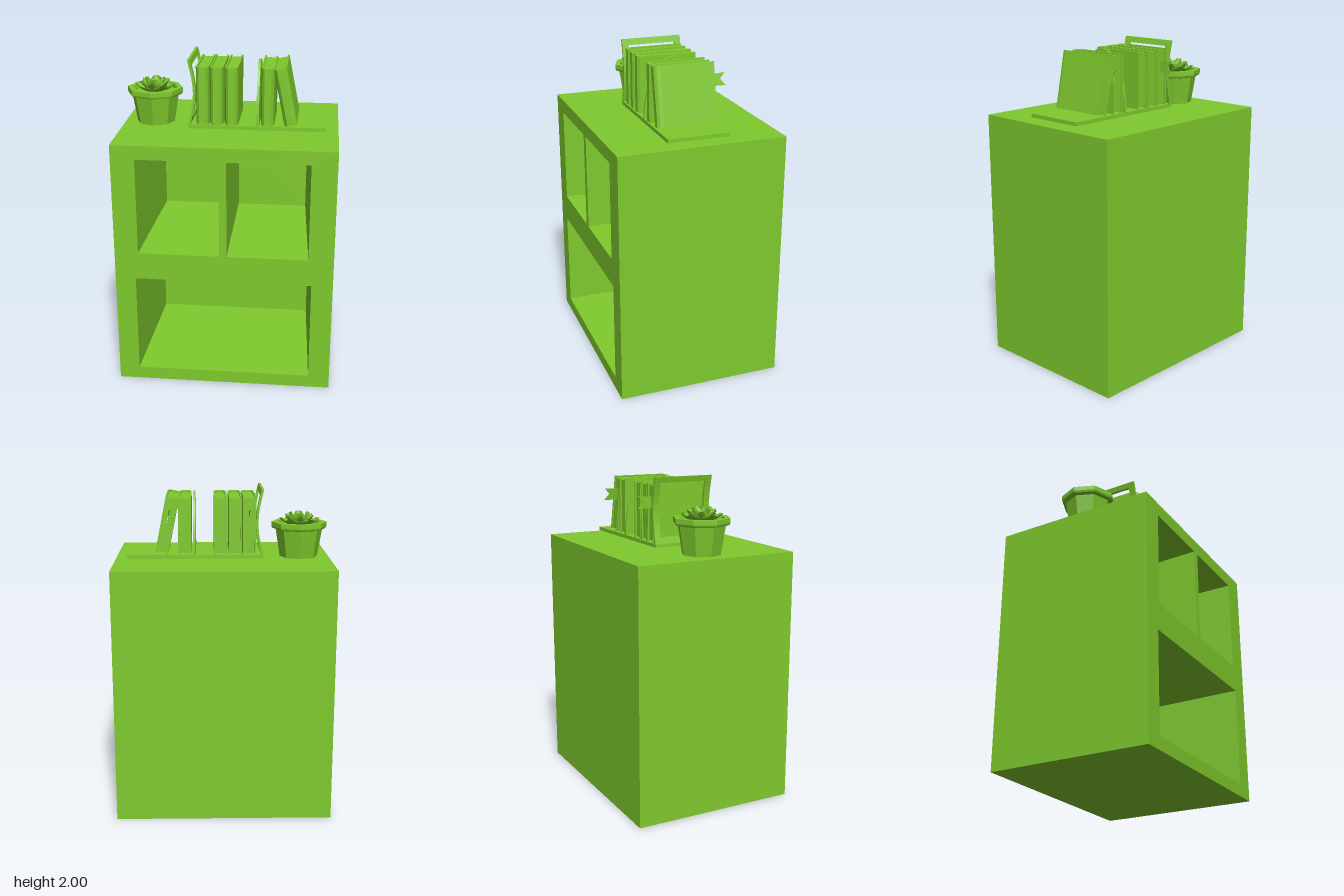
import * as THREE from 'three';

const green = new THREE.MeshStandardMaterial({ color: 0x7fca2d, side: THREE.DoubleSide });
green.name = 'leaf green';

function add(parent, name, geometry, x = 0, y = 0, z = 0) {
  const mesh = new THREE.Mesh(geometry, green);
  mesh.name = name;
  mesh.position.set(x, y, z);
  parent.add(mesh);
  return mesh;
}

// Faceted copy of a geometry
function faceted(geometry) {
  const flat = geometry.toNonIndexed();
  flat.computeVertexNormals();
  return flat;
}

// Box without its front (+z) face
function openBox(w, h, d) {
  const box = new THREE.BoxGeometry(w, h, d);
  const index = Array.from(box.index.array);
  index.splice(24, 6);
  box.setIndex(index);
  box.clearGroups();
  return box;
}

// Tapered compartment; front and back are [x0, x1, y0, y1]
function recess(front, back, zFront, zBack) {
  const geo = openBox(1, 1, 1);
  const p = geo.attributes.position;
  for (let i = 0; i < p.count; i++) {
    const r = p.getZ(i) > 0 ? front : back;
    p.setXYZ(i, p.getX(i) > 0 ? r[1] : r[0], p.getY(i) > 0 ? r[3] : r[2], p.getZ(i) > 0 ? zFront : zBack);
  }
  geo.setIndex(Array.from(geo.index.array).reverse());
  geo.computeVertexNormals();
  return geo;
}

function makeCabinet() {
  const g = new THREE.Group();
  g.name = 'cabinet';
  const W = 0.665, H = 1.565, D = 0.515;
  add(g, 'cabinetBody', openBox(2 * W, H, 2 * D), 0, H / 2, 0);
  const face = new THREE.Shape([[-W, 0], [W, 0], [W, H], [-W, H]].map(a => new THREE.Vector2(...a)));
  const bays = [
    ['upperRightBay', [-0.52, -0.025, 0.88, 1.48], [-0.475, -0.025, 0.905, 1.455]],
    ['upperLeftBay', [0.02, 0.512, 0.88, 1.48], [0.02, 0.472, 0.905, 1.455]],
    ['lowerBay', [-0.54, 0.535, 0.08, 0.71], [-0.502, 0.5, 0.105, 0.687]],
  ];
  for (const [name, f, b] of bays) {
    face.holes.push(new THREE.Path([[f[0], f[2]], [f[0], f[3]], [f[1], f[3]], [f[1], f[2]]]
      .map(a => new THREE.Vector2(...a))));
    add(g, name, recess(f, b, D, -0.295));
  }
  add(g, 'cabinetFront', new THREE.ShapeGeometry(face), 0, 0, D);
  return g;
}

// Wrapped cover with a rounded spine, page block and optional ribbon
function makeBook(name, ribbon) {
  const g = new THREE.Group();
  g.name = name;
  const h = 0.352;
  const half = [[0.04, 0.185], [0.04, -0.15], [0.034, -0.17], [0.02, -0.185]];
  const inner = [[0.03, 0.185], [0.03, -0.145], [0.02, -0.16]];
  const mirror = list => list.map(([x, y]) => [-x, y]).reverse();
  const outline = [...half, ...mirror(half), ...mirror(inner).reverse(), ...inner.slice().reverse()];
  const cover = new THREE.ExtrudeGeometry(new THREE.Shape(outline.map(a => new THREE.Vector2(...a))),
    { depth: h, bevelEnabled: false });
  cover.rotateX(-Math.PI / 2);
  add(g, 'cover', cover);
  add(g, 'pages', new THREE.BoxGeometry(0.062, h - 0.02, 0.325), 0, h / 2, -0.012);
  if (ribbon) {
    const tail = new THREE.Shape([[0.16, -0.04], [0.265, -0.04], [0.232, 0], [0.265, 0.036], [0.16, 0.03]]
      .map(a => new THREE.Vector2(...a)));
    const geo = new THREE.ExtrudeGeometry(tail, { depth: 0.004, bevelEnabled: false });
    geo.rotateY(Math.PI / 2);
    add(g, 'ribbon', geo, 0, 0.245, 0);
  }
  return g;
}

// Curved upright strip, thin in x and running along z
function bowedStrip(y0, y1, width) {
  const bow = y => -0.241 + 0.033 * Math.sin(Math.PI * (y - 1.6) / 0.4);
  const left = [], right = [];
  const n = Math.max(1, Math.round((y1 - y0) / 0.04));
  for (let i = 0; i <= n; i++) {
    const y = y0 + (y1 - y0) * i / n;
    left.push(new THREE.Vector2(bow(y) - 0.006, y));
    right.push(new THREE.Vector2(bow(y) + 0.009, y));
  }
  return new THREE.ExtrudeGeometry(new THREE.Shape([...right, ...left.reverse()]),
    { depth: width, bevelEnabled: false });
}

function makeBookRack() {
  const g = new THREE.Group();
  g.name = 'bookRack';
  add(g, 'rackBase', new THREE.BoxGeometry(0.835, 0.023, 0.386), 0.172, 1.593, 0);
  // Open bowed end frame
  add(g, 'frameTop', bowedStrip(1.965, 2, 0.386), 0, 0, -0.193);
  add(g, 'frameBottom', bowedStrip(1.6, 1.64, 0.386), 0, 0, -0.193);
  for (const z of [-0.193, 0.153]) add(g, 'frameSide', bowedStrip(1.64, 1.965, 0.04), 0, 0, z);
  // Arched divider
  const arch = new THREE.Shape();
  arch.moveTo(0.193, 0);
  arch.absellipse(0, 0, 0.193, 0.372, 0, Math.PI, false);
  arch.closePath();
  const archGeo = new THREE.ExtrudeGeometry(arch, { depth: 0.016, bevelEnabled: false, curveSegments: 16 });
  archGeo.rotateY(Math.PI / 2);
  add(g, 'archDivider', archGeo, 0.168, 1.603, 0);
  // Standing books, then the leaning one
  [-0.16, -0.074, 0.016, 0.234].forEach((x, i) => {
    const book = makeBook('book', i === 0);
    book.position.set(x, 1.604, 0);
    g.add(book);
  });
  const leaning = makeBook('leaningBook', true);
  leaning.position.set(0.376, 1.612, 0);
  leaning.rotation.z = 0.2;
  g.add(leaning);
  return g;
}

// Cupped leaf pointing along +z, rising to its rounded tip
function leafGeometry(length, width, rise) {
  const geo = new THREE.PlaneGeometry(2, 1, 6, 5);
  const p = geo.attributes.position;
  for (let i = 0; i < p.count; i++) {
    const u = p.getX(i), t = p.getY(i) + 0.5;
    const w = width * Math.sin(Math.PI * (0.2 + 0.66 * t));
    p.setXYZ(i, u * w, rise * t * t + 0.025 * u * u * (1 - t), length * t - 0.02 * u * u * t);
  }
  geo.computeVertexNormals();
  return geo;
}

function makePlant() {
  const g = new THREE.Group();
  g.name = 'pottedPlant';
  g.position.set(-0.478, 1.565, -0.01);
  // Octagonal pot with a wide rim and soil inside
  const profile = [[0, 0], [0.118, 0], [0.146, 0.172], [0.168, 0.178], [0.173, 0.19], [0.173, 0.218],
    [0.14, 0.218], [0.134, 0.19], [0, 0.19]].map(a => new THREE.Vector2(...a));
  add(g, 'pot', faceted(new THREE.LatheGeometry(profile, 8)));
  // Rosette rings: count, start radius, length, half width, rise, height, turn
  const rings = [
    [6, 0.035, 0.092, 0.062, 0.045, 0.195, 0.5],
    [6, 0.025, 0.072, 0.05, 0.058, 0.202, 0],
    [4, 0.02, 0.045, 0.042, 0.066, 0.21, 0],
  ];
  for (const [count, r, len, width, rise, y, turn] of rings) {
    for (let i = 0; i < count; i++) {
      const a = (i + turn) * 2 * Math.PI / count;
      const leaf = add(g, 'leaf', leafGeometry(len, width, rise), r * Math.sin(a), y, r * Math.cos(a));
      leaf.rotation.y = a;
    }
  }
  const heart = add(g, 'plantHeart', faceted(new THREE.CylinderGeometry(0.045, 0.04, 0.05, 4)), 0, 0.215, 0);
  heart.rotation.y = Math.PI / 4;
  return g;
}

export function createModel() {
  const model = new THREE.Group();
  model.name = 'bookCabinet';
  model.add(makeCabinet(), makeBookRack(), makePlant());
  return model;
}
